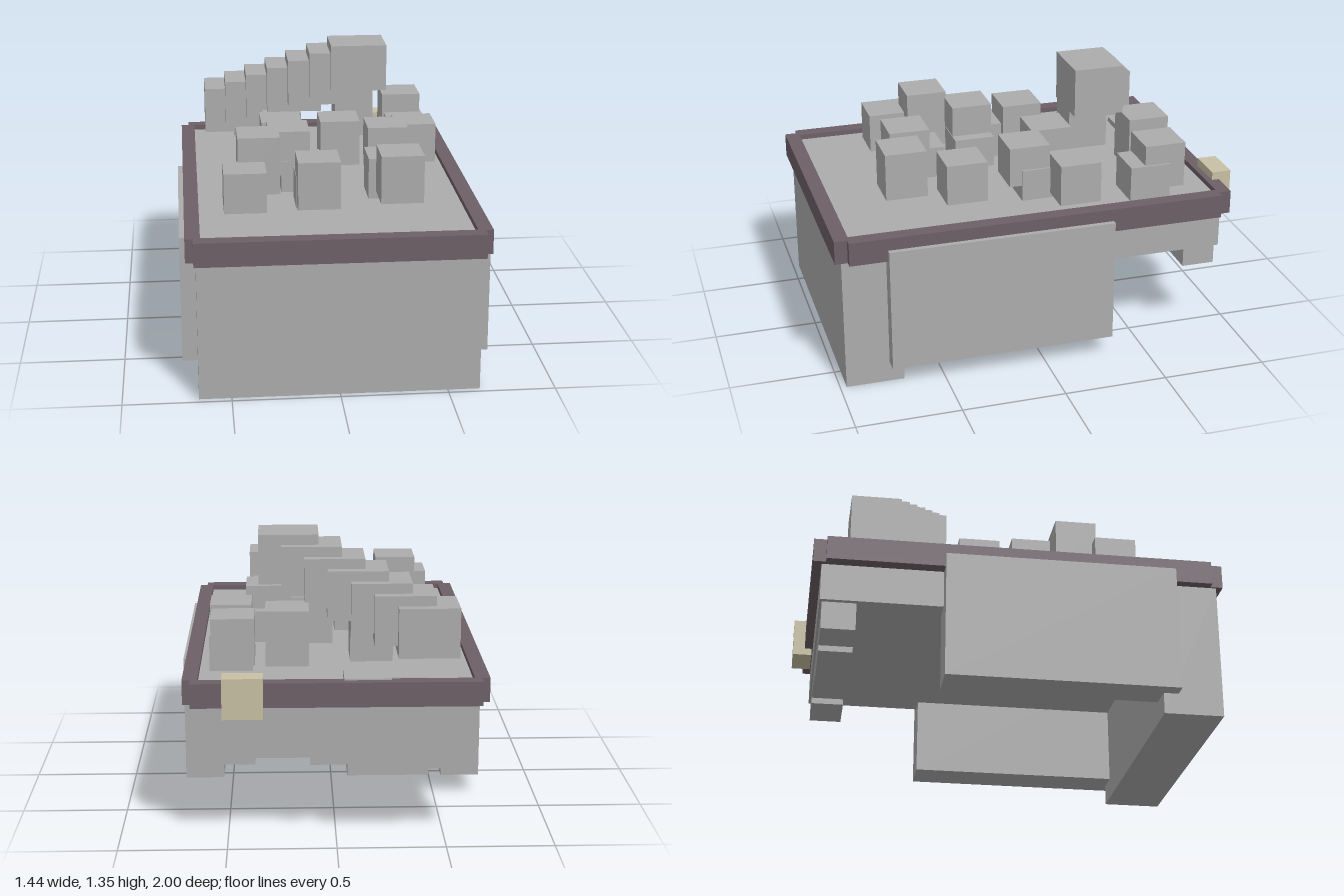
import * as THREE from 'three';

export function createModel() {
  const model = new THREE.Group();
  const material = (name, color) => {
    const m = new THREE.MeshStandardMaterial({ color });
    m.name = name;
    return m;
  };
  const grey = material('plain grey', 0xacacac);
  const plum = material('dark plum', 0x6d6066);
  const cream = material('pale cream', 0xc8c0a4);

  // Box given by its two extents on each axis
  const block = (name, mat, x0, x1, y0, y1, z0, z1, parent = model) => {
    const mesh = new THREE.Mesh(new THREE.BoxGeometry(x1 - x0, y1 - y0, z1 - z0), mat);
    mesh.name = name;
    mesh.position.set((x0 + x1) / 2, (y0 + y1) / 2, (z0 + z1) / 2);
    parent.add(mesh);
    return mesh;
  };
  const group = (name) => {
    const g = new THREE.Group();
    g.name = name;
    model.add(g);
    return g;
  };

  // Deck and front support
  block('deck', grey, -0.635, 0.635, 0.475, 0.745, -0.9, 0.95);
  block('frontSupport', grey, -0.65, 0.65, 0, 0.66, 0.69, 0.97);

  // Side supports and rails, mirrored
  for (const s of [-1, 1]) {
    const side = s < 0 ? 'right' : 'left';
    const support = block(side + 'Support', grey, 0.535, 0.722, 0.1, 0.71, -0.33, 0.76);
    support.position.x *= s;
    const rail = block(side + 'Rail', plum, 0.627, 0.697, 0.655, 0.77, -0.88, 0.94);
    rail.position.x *= s;
  }
  block('frontRail', plum, -0.66, 0.66, 0.655, 0.77, 0.93, 1);
  block('backRail', plum, -0.66, 0.66, 0.655, 0.77, -0.94, -0.875);
  block('backTag', cream, 0.33, 0.515, 0.62, 0.81, -1, -0.905);

  // Blocks hanging under the back edge: x range and lowest point
  const hanging = group('hangingBlocks');
  for (const [x0, x1, y] of [
    [0.37, 0.61, 0.37], [0.12, 0.37, 0.4], [-0.05, 0.12, 0.365],
    [-0.42, -0.05, 0.312], [-0.61, -0.42, 0.34],
  ]) block('hangingBlock', grey, x0, x1, y, 0.48, -0.89, -0.73, hanging);

  // Rising diagonal row of seven large blocks
  const stairs = group('risingBlocks');
  for (let i = 0; i < 7; i++) {
    const x = -0.57 + i * 0.1067, y = 0.83 + i * 0.0475, z = -0.77 + i * 0.048;
    block('risingBlock', grey, x, x + 0.282, y, y + 0.235, z, z + 0.238, stairs);
  }

  // Low plates at the back of the deck
  block('backPlate', grey, -0.41, -0.25, 0.74, 0.772, -0.872, -0.7);
  block('backPlate', grey, -0.25, -0.035, 0.74, 0.776, -0.9, -0.72);

  // Scattered small blocks: x and z of the low corner, bottom and top
  const scattered = group('scatteredBlocks');
  for (const [x, z, y0, y1] of [
    [0.12, -0.74, 0.79, 1.05], [0.37, -0.73, 0.79, 1.013], [0.38, -0.655, 0.745, 0.915],
    [0.39, -0.3, 0.77, 0.97], [0, -0.28, 0.77, 1], [0.23, -0.16, 0.745, 0.9],
    [0.22, -0.1, 0.82, 1.015], [0.19, 0.2, 0.75, 0.95], [0.213, 0.5, 0.825, 1.053],
    [-0.163, 0.395, 0.77, 1], [-0.165, 0.32, 0.745, 0.9], [-0.51, 0.42, 0.77, 0.963],
    [-0.437, 0.24, 0.8, 1.08], [-0.28, 0.047, 0.83, 1.05], [-0.22, 0.05, 0.745, 0.9],
    [-0.3, -0.22, 0.78, 1.02], [-0.33, -0.09, 0.745, 0.92], [-0.275, -0.565, 0.76, 0.97],
  ]) block('scatteredBlock', grey, x, x + 0.2, y0, y1, z, z + 0.2, scattered);

  return model;
}
